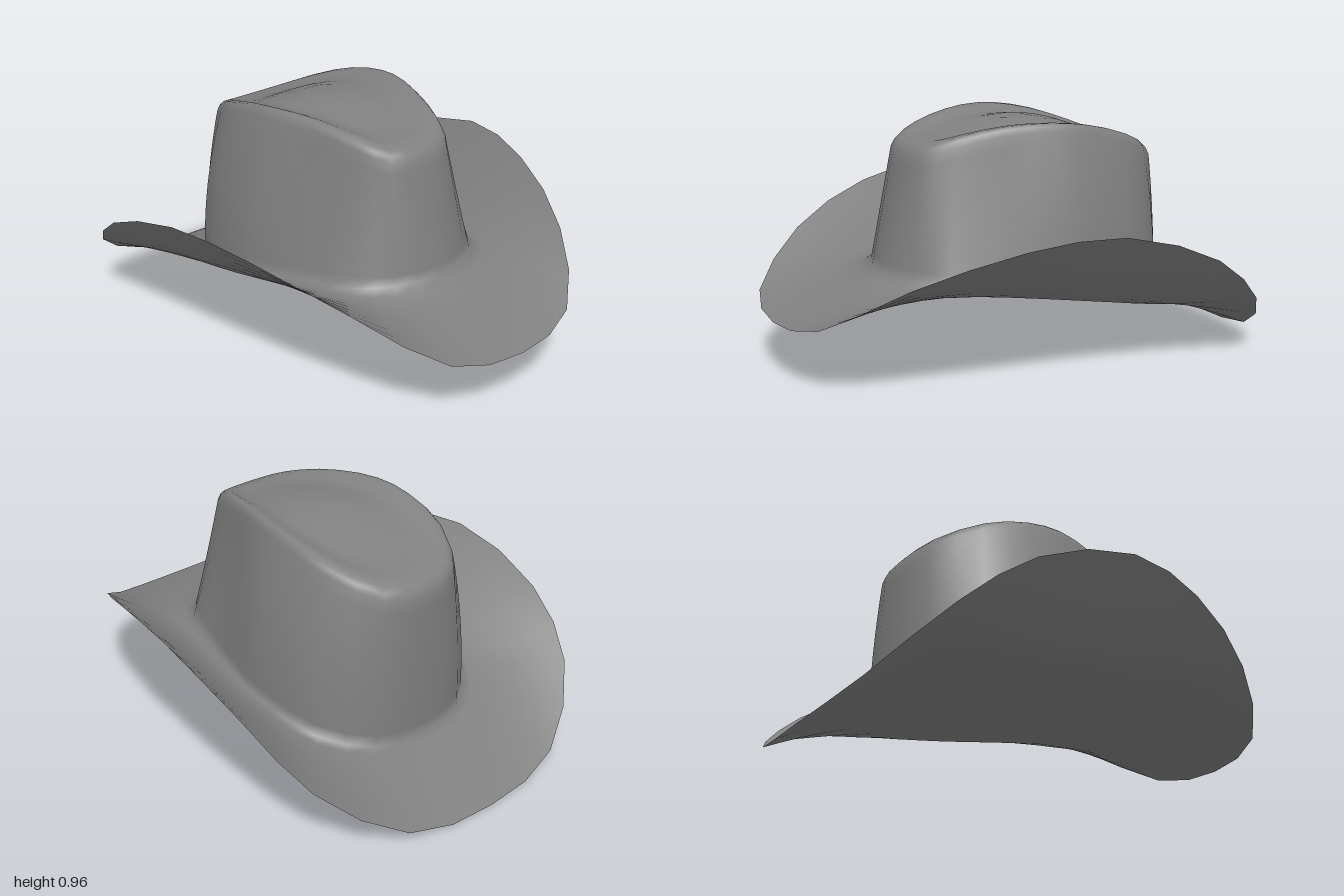
import * as THREE from 'three';
import { mergeVertices } from 'three/addons/utils/BufferGeometryUtils.js';

const SIDES = 32;
const lerp = THREE.MathUtils.lerp;

// Heights: gently arched floor under the crown, and the crest of the crown
const floor = (x, z) => 0.272 + 0.165 * z - 0.08 * z * z + 0.12 * x * x;
const crest = (z) => 0.966 - 0.46 * z * z;

// Mirror half an outline (front to back on the left) and sample it as a closed ring
function outline(half) {
  const left = half.map(([x, y, z]) => new THREE.Vector3(x, y, z));
  const right = left.slice(1, -1).reverse().map((p) => new THREE.Vector3(-p.x, p.y, p.z));
  const curve = new THREE.CatmullRomCurve3([...left, ...right], true);
  return Array.from({ length: SIDES }, (_, i) => curve.getPoint(i / SIDES));
}

// Skin a list of rings; flip turns the faces downwards
function loft(rings, flip) {
  const pos = rings.flat().flatMap((p) => [p.x, p.y, p.z]);
  const index = [];
  for (let r = 0; r < rings.length - 1; r++) {
    for (let i = 0; i < SIDES; i++) {
      const a = r * SIDES + i;
      const b = r * SIDES + ((i + 1) % SIDES);
      const c = b + SIDES;
      const d = a + SIDES;
      if (flip) index.push(a, c, b, a, d, c);
      else index.push(a, b, c, a, c, d);
    }
  }
  let geo = new THREE.BufferGeometry();
  geo.setAttribute('position', new THREE.Float32BufferAttribute(pos, 3));
  geo.setIndex(index);
  geo = mergeVertices(geo, 1e-5);
  geo.computeVertexNormals();
  return geo;
}

export function createModel() {
  const group = new THREE.Group();
  const felt = new THREE.MeshStandardMaterial({ color: 0x808080 });
  felt.name = 'grey felt';

  // Curled outer edge of the brim
  const rim = outline([
    [0, 0.24, 1], [0.31, 0.28, 0.94], [0.55, 0.455, 0.68], [0.72, 0.588, 0.3],
    [0.802, 0.615, -0.07], [0.796, 0.47, -0.5], [0.7, 0.26, -0.765], [0.4, 0.045, -0.955], [0, 0, -1],
  ]);
  // Crown outlines: foot, pinched middle and shoulder
  const foot = outline([
    [0, 0, 0.555], [0.19, 0, 0.505], [0.315, 0, 0.4], [0.38, 0, 0.2],
    [0.44, 0, -0.08], [0.44, 0, -0.25], [0.395, 0, -0.45], [0.23, 0, -0.6], [0, 0, -0.635],
  ]);
  const middle = outline([
    [0, 0, 0.505], [0.17, 0, 0.465], [0.255, 0, 0.36], [0.318, 0, 0.17],
    [0.4, 0, -0.06], [0.41, 0, -0.235], [0.37, 0, -0.445], [0.215, 0, -0.6], [0, 0, -0.635],
  ]);
  const shoulder = outline([
    [0, 0, 0.455], [0.14, 0, 0.43], [0.21, 0, 0.32], [0.272, 0, 0.14],
    [0.325, 0, -0.05], [0.335, 0, -0.22], [0.305, 0, -0.42], [0.185, 0, -0.59], [0, 0, -0.63],
  ]);
  foot.forEach((p) => { p.y = floor(p.x, p.z); });
  shoulder.forEach((p) => { p.y = crest(p.z) - 0.035; });

  // Brim ring: s = 0 at the crown foot, 1 at the rim, curling up outwards
  const brimRing = (s) => foot.map((f, i) => {
    const p = f.clone().lerp(rim[i], s);
    p.y = lerp(f.y, rim[i].y, s ** 1.4);
    return p;
  });
  // Upper skin: thin felt, with a fillet swelling up towards the crown, fullest in front
  const swell = (f) => 0.01 + 0.05 * Math.max(0, f.z);
  const upperRing = (s) => brimRing(s).map((p, i) => {
    p.y += 0.006 * (1 - s) + swell(foot[i]) * Math.max(0, 1 - s / 0.4) ** 3;
    return p;
  });
  // Crown wall ring: quadratic through foot, middle and shoulder
  const wallRing = (f) => upperRing(0).map((p, i) => {
    const a = 2 * (f - 0.5) * (f - 1), b = 4 * f * (1 - f), c = 2 * f * (f - 0.5);
    const m = middle[i], t = shoulder[i];
    return new THREE.Vector3(a * p.x + b * m.x + c * t.x, lerp(p.y, t.y, f), a * p.z + b * m.z + c * t.z);
  });
  // Crown top ring, scaled by k towards the centre and sunk below the crest
  const topRing = ([k, sink]) => shoulder.map((t) => {
    const x = t.x * k, z = -0.1 + (t.z + 0.1) * k;
    return new THREE.Vector3(x, crest(z) - sink, z);
  });

  // Rounded ridge, a shallow groove inside it, then a low hump in the middle
  const topProfile = [
    [0.975, 0.014], [0.94, 0.003], [0.87, 0.004], [0.79, 0.016], [0.7, 0.028],
    [0.6, 0.031], [0.45, 0.024], [0.25, 0.014], [0, 0.01],
  ];
  const upper = [
    ...[1, 0.85, 0.7, 0.55, 0.4, 0.3, 0.2, 0.1, 0].map(upperRing),
    ...[0.08, 0.2, 0.35, 0.5, 0.65, 0.8, 0.92, 1].map(wallRing),
    ...topProfile.map(topRing),
  ];
  const top = new THREE.Mesh(loft(upper, false), felt);
  top.name = 'crownAndBrim';

  // Closed underside, continuing across the floor of the crown
  const lower = [
    ...[1, 0.85, 0.7, 0.55, 0.4, 0.2, 0].map(brimRing),
    ...[0.75, 0.5, 0.25, 0].map((k) => foot.map((f) => {
      const x = f.x * k, z = f.z * k;
      return new THREE.Vector3(x, floor(x, z), z);
    })),
  ];
  const under = new THREE.Mesh(loft(lower, true), felt);
  under.name = 'brimUnderside';

  group.add(top, under);
  return group;
}
